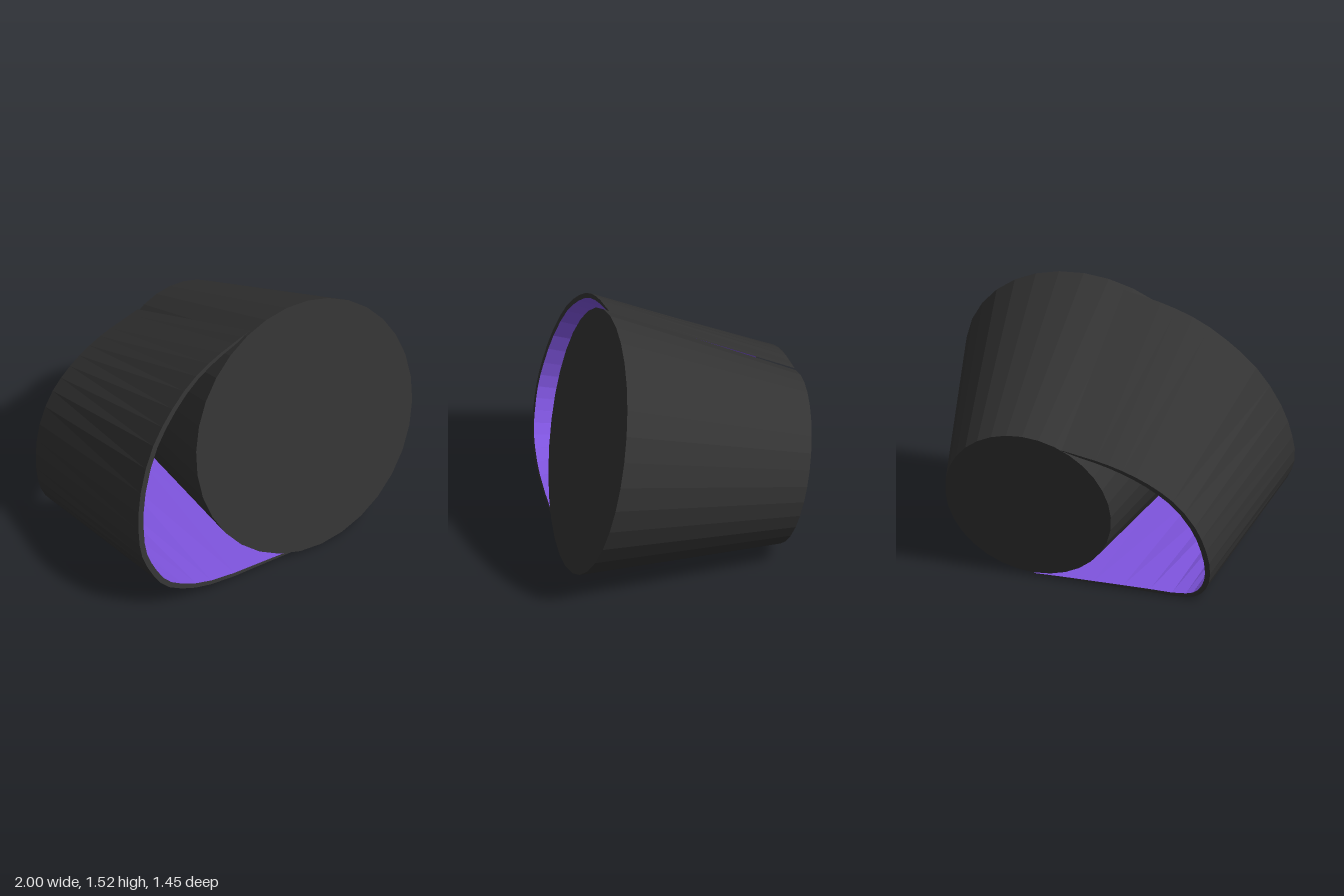
import * as THREE from 'three';

const DARK = 0x333333, PURPLE = 0x8055e0;
const SEGMENTS = 26;
const SLOPE = 0.22; // both ends lean back by this much per unit of height

function material(color) {
  return new THREE.MeshStandardMaterial({ color, flatShading: true });
}

// Sample an [x, y] outline and lay it on the leaning plane through (y0, z0)
function rim(points, y0, z0, thickness) {
  const curve = new THREE.CatmullRomCurve3(points.map(([x, y]) => new THREE.Vector3(x, y, 0)));
  const place = (x, y) => new THREE.Vector3(x, y, z0 - (y - y0) * SLOPE);
  const outer = [], inner = [];
  for (let i = 0; i <= SEGMENTS; i++) {
    const t = i / SEGMENTS;
    const p = curve.getPoint(t), d = curve.getTangent(t);
    // wall thins out towards both seams
    const w = 0.004 + thickness * Math.pow(Math.max(0, Math.sin(Math.PI * t)), 0.7);
    outer.push(place(p.x, p.y));
    inner.push(place(p.x - d.y * w, p.y + d.x * w));
  }
  return { outer, inner };
}

// Band of quads between two equal rows of points
function strip(name, a, b, color) {
  const index = [], n = a.length;
  for (let i = 0; i < n - 1; i++) {
    index.push(i, i + 1, n + i + 1, i, n + i + 1, n + i);
  }
  const geometry = new THREE.BufferGeometry().setFromPoints([...a, ...b]);
  geometry.setIndex(index);
  geometry.computeVertexNormals();
  const mesh = new THREE.Mesh(geometry, material(color));
  mesh.name = name;
  return mesh;
}

export function createModel() {
  const model = new THREE.Group();
  model.name = 'taperedBodyWithSideLoop';

  // Solid tapered body, wide end to the front
  const body = new THREE.Mesh(new THREE.CylinderGeometry(0.777, 0.506, 1.2, 32), material(DARK));
  body.name = 'taperedBody';
  body.rotation.x = Math.PI / 2 - Math.atan(SLOPE);
  body.position.set(0.22, 0.632, -0.03);
  model.add(body);

  // Open loop on the right side, from the top seam round to the underside
  const front = rim([
    [-0.03, 1.463], [-0.15, 1.435], [-0.32, 1.39], [-0.5, 1.31], [-0.68, 1.175], [-0.83, 1.01],
    [-0.95, 0.77], [-0.995, 0.57], [-0.998, 0.41], [-0.95, 0.28], [-0.87, 0.165], [-0.72, 0.085],
    [-0.52, 0.038], [-0.15, 0.018], [0.22, 0.004],
  ], 0.76, 0.525, 0.033);
  const back = rim([
    [-0.02, 0.945], [-0.13, 0.925], [-0.28, 0.895], [-0.43, 0.845], [-0.57, 0.775], [-0.7, 0.675],
    [-0.81, 0.515], [-0.86, 0.36], [-0.873, 0.21], [-0.845, 0.1], [-0.785, 0.03], [-0.69, 0.002],
    [-0.45, 0.001], [-0.12, 0.001], [0.22, 0.002],
  ], 0.503, -0.62, 0.028);

  const loop = new THREE.Group();
  loop.name = 'sideLoop';
  loop.add(
    strip('loopOuterWall', back.outer, front.outer, DARK),
    strip('loopLining', front.inner, back.inner, PURPLE),
    strip('loopFrontRim', front.outer, front.inner, DARK),
    strip('loopBackRim', back.inner, back.outer, DARK),
  );
  model.add(loop);
  return model;
}
